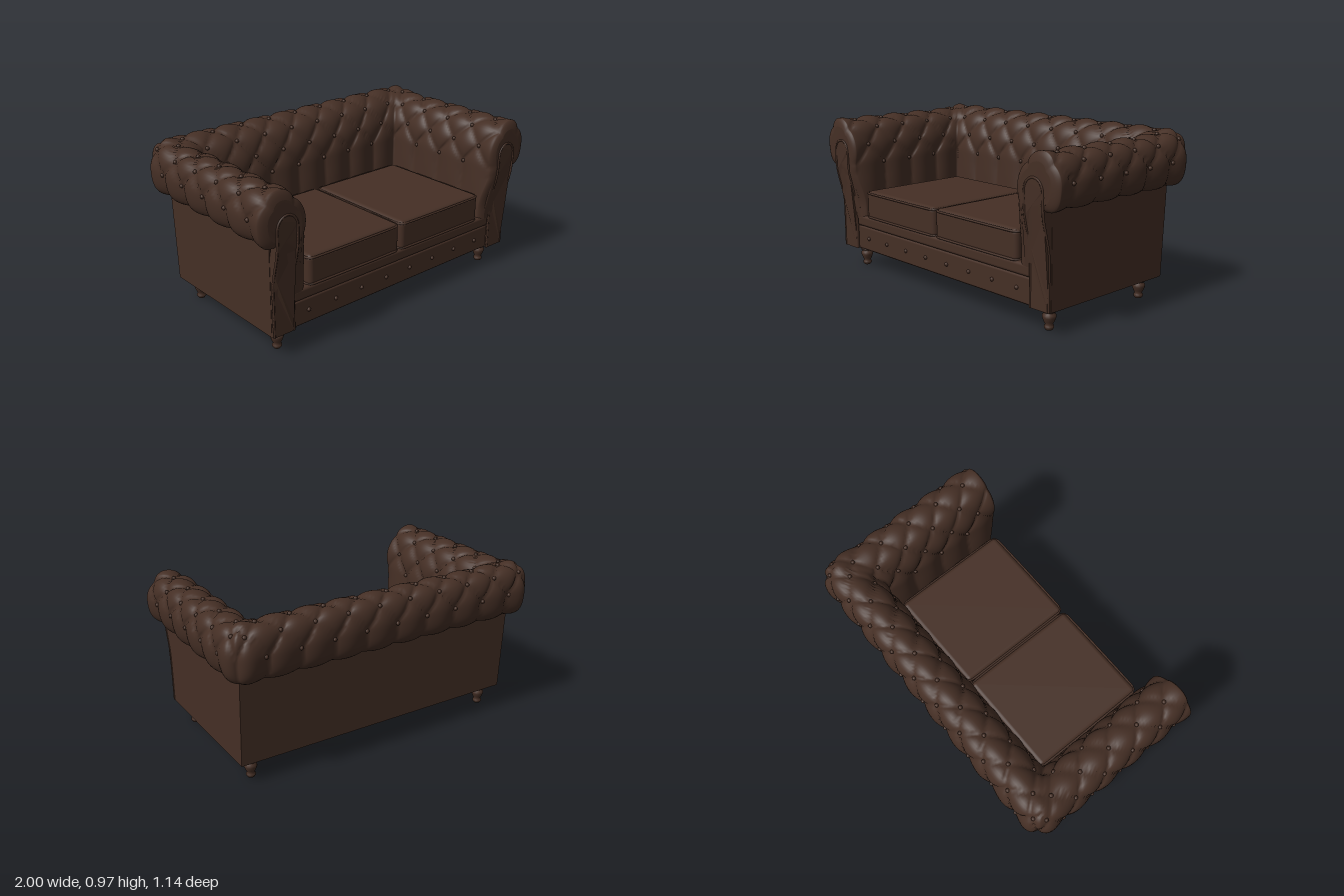
import * as THREE from 'three';
import { RoundedBoxGeometry } from 'three/addons/geometries/RoundedBoxGeometry.js';

const leather = new THREE.MeshStandardMaterial({ color: 0x452f25 });
leather.name = 'dark brown leather';
leather.side = THREE.DoubleSide;

const V3 = (x, y, z) => new THREE.Vector3(x, y, z);
const smooth = THREE.MathUtils.smoothstep;
const lerp = THREE.MathUtils.lerp;

// Arm and back section: distance outward from the wall, height
const section = new THREE.SplineCurve([
  [0, 0.655], [0.05, 0.66], [0.085, 0.7], [0.1, 0.77], [0.095, 0.85], [0.06, 0.92], [0, 0.952],
  [-0.08, 0.945], [-0.14, 0.91], [-0.18, 0.84], [-0.205, 0.74], [-0.215, 0.6], [-0.22, 0.45], [-0.22, 0.34],
].map(([d, y]) => new THREE.Vector2(d, y)));
const LENGTH = section.getLength();
const WALL_X = 0.9, WALL_Z = -0.46;
const PITCH = 0.2, ROW = 0.12, FIRST = 0.2, ROWS = 6, DEPTH = 0.028;

// Front of the arms leans forward towards the roll
const frontZ = (y) => 0.495 + 0.05 * smooth(y, 0.4, 0.68);

// Diamond tufting: pleats run between staggered buttons, then straight out
function sink(a, s) {
  const p = a / PITCH;
  const q = THREE.MathUtils.clamp((s - FIRST) / (2 * ROW), 0, (ROWS - 1) / 2);
  const m = Math.abs(Math.sin(Math.PI * (p + q)) * Math.sin(Math.PI * (p - q)));
  const fade = lerp(0.3, 1, smooth(s, 0, 0.12)) * (1 - 0.6 * smooth(s, 0.85, LENGTH));
  return DEPTH * (1 - Math.pow(m, 0.4)) * fade;
}

// Rounds the outer corners and raises the back a little
function settle(x, y, z) {
  const ex = Math.abs(x) - 0.86, ez = -0.42 - z;
  if (ex > 0 && ez > 0) {
    const k = Math.max(ex, ez) / Math.hypot(ex, ez);
    x = Math.sign(x) * (0.86 + ex * k);
    z = -0.42 - ez * k;
  }
  return V3(x, y + 0.02 * smooth(-z, 0.28, 0.44) * smooth(y, 0.7, 0.9), z);
}

// One U-shaped tufted roll: right arm, back, left arm, with rounded arm ends
function tuftedRoll() {
  const N = 72, ends = [[0.022, 0.7], [0.018, 0.84], [0.01, 0.94], [0.004, 0.985]];
  const columns = [];
  for (const [out, k] of ends) columns.push({ side: -1, t: 0, out, k });
  for (let i = 0; i <= 60; i++) columns.push({ side: -1, t: i / 60, out: 0, k: 1 });
  for (let i = 1; i < 120; i++) columns.push({ side: 0, t: i / 60 - 1, k: 1 });
  for (let i = 60; i >= 0; i--) columns.push({ side: 1, t: i / 60, out: 0, k: 1 });
  for (const [out, k] of ends.slice().reverse()) columns.push({ side: 1, t: 0, out, k });

  const pos = [], index = [];
  columns.forEach(({ side, t, out, k }, i) => {
    for (let j = 0; j <= N; j++) {
      const p = section.getPointAt(j / N), n = section.getTangentAt(j / N);
      const z0 = frontZ(p.y);
      const a = side ? 0.44 - lerp(z0, WALL_Z - p.x, t) : t * (WALL_X + p.x);
      const h = sink(a, LENGTH * j / N);
      let d = p.x - n.y * h, y = p.y + n.x * h;
      d = -0.07 + (d + 0.07) * k;
      if (p.x > -0.1 || y > 0.78) y = 0.78 + (y - 0.78) * k;
      const v = side
        ? settle(side * (WALL_X + d), y, lerp(z0 + out, WALL_Z - d, t))
        : settle(t * (WALL_X + d), y, WALL_Z - d);
      pos.push(v.x, v.y, v.z);
      if (i && j) {
        const b = i * (N + 1) + j, c = b - N - 1;
        index.push(c - 1, c, b - 1, c, b, b - 1);
      }
    }
  });
  // Flat middle of each arm end
  for (const first of [0, (columns.length - 1) * (N + 1)]) {
    const ring = [];
    for (let j = 0; j <= N; j++) {
      const o = (first + j) * 3;
      ring.push(new THREE.Vector2(pos[o], pos[o + 1]));
    }
    const base = pos.length / 3;
    ring.push(new THREE.Vector2(ring[0].x, 0.34));
    ring.forEach((r) => pos.push(r.x, r.y, frontZ(r.y) + 0.022));
    for (const [a, b, c] of THREE.ShapeUtils.triangulateShape(ring, [])) {
      const area = (ring[b].x - ring[a].x) * (ring[c].y - ring[a].y) - (ring[b].y - ring[a].y) * (ring[c].x - ring[a].x);
      if (area > 0) index.push(base + a, base + b, base + c);
      else index.push(base + a, base + c, base + b);
    }
  }
  const g = new THREE.BufferGeometry();
  g.setAttribute('position', new THREE.Float32BufferAttribute(pos, 3));
  g.setIndex(index);
  g.computeVertexNormals();
  return g;
}

// Box given by its limits; the back leans outward as it rises
function block(x0, x1, y0, y1, z0, z1, lean = 0) {
  const g = new THREE.BoxGeometry(x1 - x0, y1 - y0, z1 - z0);
  g.translate((x0 + x1) / 2, (y0 + y1) / 2, (z0 + z1) / 2);
  const p = g.attributes.position;
  for (let i = 0; i < p.count; i++) {
    if (p.getZ(i) < z0 + 0.001) p.setZ(i, z0 - lean * (p.getY(i) - 0.13));
  }
  g.computeVertexNormals();
  return g;
}

// Arched outline of the arm front panel
function panelOutline() {
  const pts = [];
  for (let i = 0; i <= 10; i++) pts.push(new THREE.Vector2(0.898, lerp(0.132, 0.745, i / 10)));
  for (let i = 1; i < 12; i++) {
    const a = Math.PI * i / 12;
    pts.push(new THREE.Vector2(0.834 + 0.064 * Math.cos(a), 0.745 + 0.075 * Math.sin(a)));
  }
  for (let i = 10; i >= 0; i--) pts.push(new THREE.Vector2(0.77, lerp(0.132, 0.745, i / 10)));
  return pts;
}

export function createModel() {
  const model = new THREE.Group();
  model.name = 'sofa';
  const add = (name, geometry, parent = model) => {
    const m = new THREE.Mesh(geometry, leather);
    m.name = name;
    parent.add(m);
    return m;
  };

  // Frame
  add('baseFrame', block(-0.9, 0.9, 0.13, 0.3, -0.4, 0.495, 0.05));
  add('backWall', block(-0.9, 0.9, 0.13, 0.665, -0.4, -0.28, 0.05));
  add('seatPlatform', new RoundedBoxGeometry(1.54, 0.07, 0.8, 3, 0.018).translate(0, 0.318, 0.115));
  add('frontRail', new RoundedBoxGeometry(1.55, 0.15, 0.08, 3, 0.012).translate(0, 0.207, 0.465));
  for (const s of [-1, 1]) {
    add('armWall', block(s > 0 ? 0.74 : -0.9, s > 0 ? 0.9 : -0.74, 0.13, 0.665, -0.36, 0.5));
  }

  // Tufted arms and back
  add('tuftedArmsAndBack', tuftedRoll());

  // Buttons
  const buttons = new THREE.Group();
  buttons.name = 'buttons';
  model.add(buttons);
  const buttonShape = new THREE.SphereGeometry(0.012, 10, 6);
  const button = (v) => add('button', buttonShape, buttons).position.copy(v);
  for (let r = 0; r < ROWS; r++) {
    const u = (FIRST + r * ROW) / LENGTH;
    const p = section.getPointAt(u), n = section.getTangentAt(u);
    const d = p.x - n.y * DEPTH * 0.75, y = p.y + n.x * DEPTH * 0.75;
    for (let c = -5; c <= 5; c++) {
      const a = (c + (r % 2) / 2) * PITCH;
      if (Math.abs(a) < WALL_X + p.x - 0.02) button(settle(a, y, WALL_Z - d));
      const z = 0.44 - a;
      if (z < 0.54 && z > WALL_Z - p.x + 0.02) {
        for (const s of [-1, 1]) button(settle(s * (WALL_X + d), y, z));
      }
    }
  }
  for (let i = 0; i < 8; i++) button(V3((i - 3.5) * 0.188, 0.21, 0.505));

  // Arm front panels with piping
  const outline = panelOutline();
  for (const s of [-1, 1]) {
    const pts = outline.map((p) => new THREE.Vector2(s * p.x, p.y));
    const g = new THREE.ExtrudeGeometry(new THREE.Shape(pts), { depth: 0.055, bevelEnabled: false });
    const p = g.attributes.position;
    for (let i = 0; i < p.count; i++) p.setZ(i, p.getZ(i) - 0.03 + frontZ(p.getY(i)));
    g.computeVertexNormals();
    add('armFrontPanel', g);
    const path = new THREE.CatmullRomCurve3(pts.map((q) => V3(q.x * 0.998, q.y, frontZ(q.y) + 0.022)));
    add('armPiping', new THREE.TubeGeometry(path, 80, 0.007, 6));
  }

  // Seat cushions with piped edges
  for (const s of [-1, 1]) {
    const cushion = new THREE.Group();
    cushion.name = 'seatCushion';
    cushion.position.set(s * 0.333, 0.43, 0.145);
    model.add(cushion);
    add('cushionBody', new RoundedBoxGeometry(0.655, 0.18, 0.74, 4, 0.03), cushion);
    for (const y of [-0.075, 0.075]) {
      const loop = [];
      for (let i = 0; i < 24; i++) {
        const a = Math.PI / 2 * Math.floor(i / 6) + Math.PI / 2 * (i % 6) / 5;
        const sx = [1, -1, -1, 1][Math.floor(i / 6)], sz = [1, 1, -1, -1][Math.floor(i / 6)];
        loop.push(V3(sx * 0.295 + 0.03 * Math.cos(a), y, sz * 0.338 + 0.03 * Math.sin(a)));
      }
      const path = new THREE.CatmullRomCurve3(loop, true, 'centripetal');
      add('cushionPiping', new THREE.TubeGeometry(path, 120, 0.007, 6, true), cushion);
    }
  }

  // Turned legs
  const turning = [
    [0, 0], [0.018, 0], [0.027, 0.012], [0.027, 0.022], [0.02, 0.03], [0.028, 0.045], [0.037, 0.068],
    [0.037, 0.082], [0.028, 0.09], [0.028, 0.096], [0.038, 0.1], [0.038, 0.11], [0.032, 0.114], [0.04, 0.12], [0.04, 0.135],
  ].map(([r, y]) => new THREE.Vector2(r, y));
  const legShape = new THREE.LatheGeometry(turning, 20);
  for (const x of [-0.81, 0.81]) {
    for (const z of [0.42, -0.32]) add('leg', legShape).position.set(x, 0, z);
  }
  return model;
}
